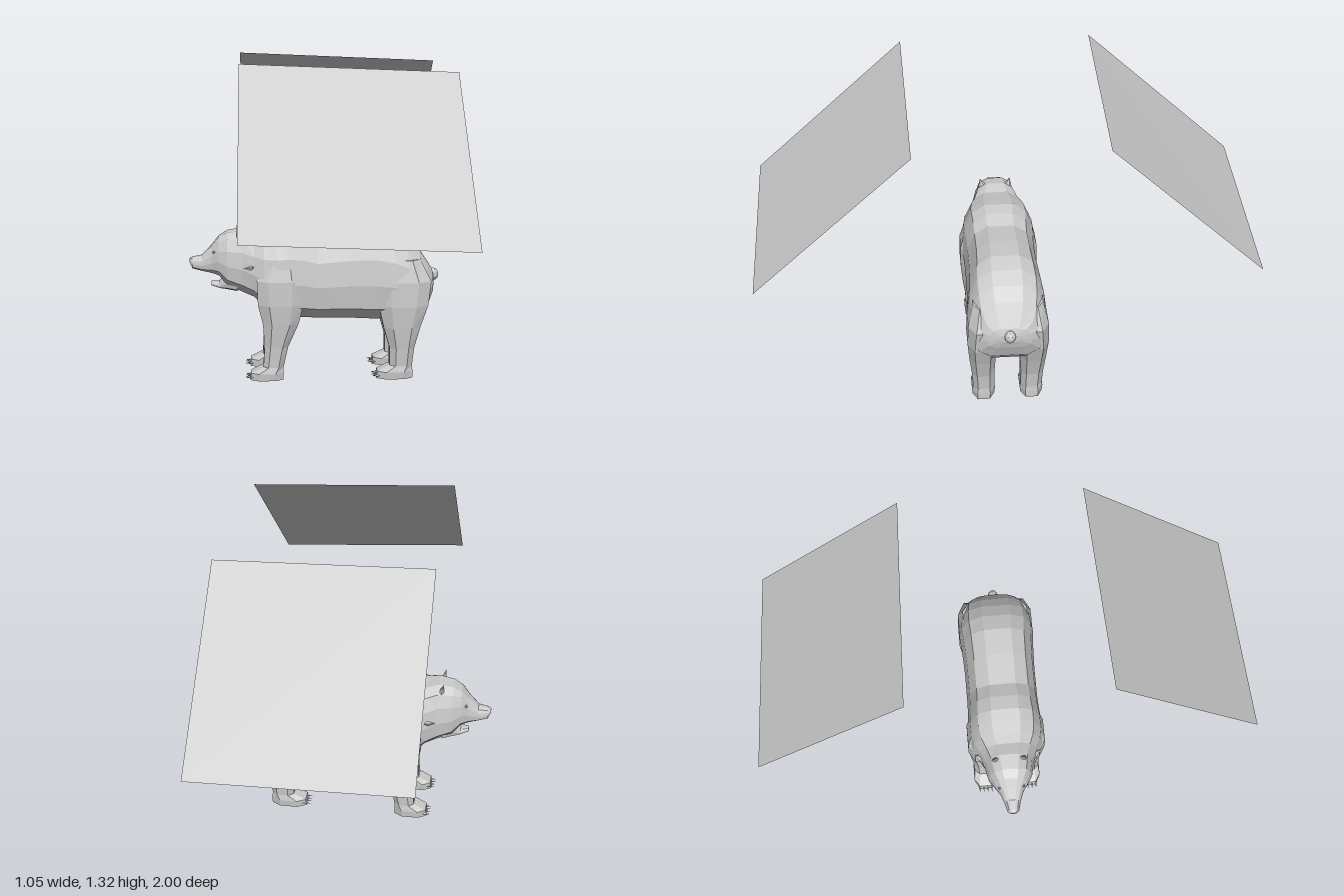
import * as THREE from 'three';

const grey = new THREE.MeshStandardMaterial({ color: 0xcccccc, flatShading: true });
const thin = new THREE.MeshStandardMaterial({ color: 0xcccccc, flatShading: true, side: THREE.DoubleSide });

// Skin a list of rings (equal point counts, counter-clockwise about the loft axis) with flat caps
function loft(rings) {
  const n = rings[0].length, index = [];
  rings.slice(1).forEach((_, r) => {
    for (let i = 0; i < n; i++) {
      const a = r * n + i, b = r * n + (i + 1) % n;
      index.push(a, b, b + n, a, b + n, a + n);
    }
  });
  const last = (rings.length - 1) * n;
  for (let i = 1; i < n - 1; i++) {
    index.push(0, i + 1, i, last, last + i, last + i + 1);
  }
  const g = new THREE.BufferGeometry();
  g.setAttribute('position', new THREE.Float32BufferAttribute(rings.flat(2), 3));
  g.setIndex(index);
  const flat = g.toNonIndexed();
  flat.computeVertexNormals();
  return flat;
}

// Half cross-section of the trunk: [share of half width, share of height]
const half = [[0.37, 1], [0.72, 0.9], [0.92, 0.68], [1, 0.4], [0.93, 0.14], [0.55, 0]];
const section = [...half, ...half.map(([w, h]) => [-w, h]).reverse()];
const trunkRing = ([x, top, bottom, w]) => section.map(([s, h]) => [x, bottom + (top - bottom) * h, w * s]);

// Eight-sided leg ring around the y axis: [y, x0, x1, zInner, zOuter]
function legRing([y, x0, x1, z0, z1], side) {
  const ring = [];
  const corners = [[1, 0.5], [0.55, 1], [-0.55, 1], [-1, 0.5], [-1, -0.5], [-0.55, -1], [0.55, -1], [1, -0.5]];
  for (const [cz, cx] of corners) {
    ring.push([(x0 + x1) / 2 + cx * (x1 - x0) / 2, y, side * (z0 + z1) / 2 + cz * (z1 - z0) / 2]);
  }
  return ring;
}

export function createModel() {
  const model = new THREE.Group();
  const add = (name, geometry, parent = model, material = grey) => {
    const mesh = new THREE.Mesh(geometry, material);
    mesh.name = name;
    parent.add(mesh);
    return mesh;
  };

  // Head, neck and trunk in one skin, from nose to rump: [x, top, bottom, half width]
  add('body', loft([
    [-0.527, 0.49, 0.475, 0.012], [-0.515, 0.496, 0.45, 0.024], [-0.475, 0.503, 0.44, 0.034],
    [-0.435, 0.545, 0.433, 0.05], [-0.405, 0.582, 0.425, 0.072], [-0.37, 0.602, 0.385, 0.092],
    [-0.31, 0.612, 0.36, 0.105], [-0.26, 0.6, 0.34, 0.128], [-0.22, 0.608, 0.3, 0.15],
    [-0.17, 0.62, 0.27, 0.16], [-0.12, 0.631, 0.255, 0.16], [-0.06, 0.624, 0.255, 0.154],
    [0, 0.603, 0.252, 0.152], [0.13, 0.62, 0.25, 0.152], [0.24, 0.627, 0.245, 0.157],
    [0.31, 0.607, 0.25, 0.163], [0.37, 0.574, 0.25, 0.161], [0.42, 0.532, 0.25, 0.152],
    [0.455, 0.48, 0.29, 0.13], [0.478, 0.445, 0.35, 0.09], [0.487, 0.42, 0.385, 0.04],
  ].map(trunkRing)));

  // Lower jaw of the open mouth
  add('jaw', loft([
    [-0.438, 0.392, 0.376, 0.014], [-0.405, 0.392, 0.366, 0.03],
    [-0.375, 0.425, 0.364, 0.052], [-0.33, 0.44, 0.358, 0.075],
  ].map(trunkRing)));

  // Tail stub
  const tail = add('tail', new THREE.IcosahedronGeometry(0.025, 1));
  tail.scale.set(1, 1.1, 0.9);
  tail.position.set(0.487, 0.412, 0);

  const frontLeg = [
    [0, -0.28, -0.142, 0.055, 0.145], [0.03, -0.276, -0.142, 0.052, 0.148], [0.055, -0.225, -0.142, 0.055, 0.143],
    [0.14, -0.22, -0.123, 0.055, 0.146], [0.24, -0.226, -0.08, 0.048, 0.158],
    [0.32, -0.246, -0.06, 0.045, 0.165], [0.42, -0.25, -0.06, 0.045, 0.164], [0.52, -0.2, -0.09, 0.05, 0.14],
  ];
  const rearLeg = [
    [0, 0.242, 0.392, 0.055, 0.145], [0.03, 0.246, 0.392, 0.052, 0.148], [0.055, 0.297, 0.39, 0.055, 0.143],
    [0.13, 0.296, 0.398, 0.055, 0.148], [0.22, 0.27, 0.422, 0.05, 0.158],
    [0.31, 0.25, 0.452, 0.045, 0.165], [0.41, 0.25, 0.465, 0.03, 0.161], [0.5, 0.28, 0.42, 0.03, 0.14],
  ];

  for (const side of [1, -1]) {
    const hand = side > 0 ? 'Left' : 'Right';

    // Legs with paws and claws
    for (const [name, rows] of [['frontLeg', frontLeg], ['rearLeg', rearLeg]]) {
      const leg = new THREE.Group();
      leg.name = name + hand;
      model.add(leg);
      add('limb', loft(rows.map((row) => legRing(row, side))), leg);
      for (let i = 0; i < 4; i++) {
        const claw = add('claw', new THREE.ConeGeometry(0.007, 0.035, 4), leg);
        claw.rotation.z = Math.PI / 2;
        claw.position.set(rows[0][1] - 0.002, 0.012, side * (0.073 + i * 0.018));
      }
    }

    // Ear
    const ear = add('ear' + hand, new THREE.ConeGeometry(0.026, 0.055, 6));
    ear.scale.x = 0.6;
    ear.rotation.set(side * 0.25, 0, 0.2);
    ear.position.set(-0.325, 0.602, side * 0.058);

    // Cheek fur tuft
    const tuft = add('cheekTuft' + hand, new THREE.ConeGeometry(0.025, 0.06, 4));
    tuft.rotation.set(side * 1.2, 0, -0.5);
    tuft.position.set(-0.275, 0.47, side * 0.115);

    // Eye
    const eye = add('eye' + hand, new THREE.IcosahedronGeometry(0.007, 0));
    eye.position.set(-0.425, 0.525, side * 0.05);

    // Slanted flat panel beside and above the animal
    const panel = new THREE.BufferGeometry();
    panel.setAttribute('position', new THREE.Float32BufferAttribute([
      -0.312, 1.315, side * 0.382, -0.317, 0.75, side * 1,
      0.518, 0.71, side * 0.97, 0.525, 1.28, side * 0.357,
    ], 3));
    panel.setIndex(side > 0 ? [0, 1, 2, 0, 2, 3] : [0, 2, 1, 0, 3, 2]);
    panel.computeVertexNormals();
    add('panel' + hand, panel, model, thin);
  }

  return model;
}
